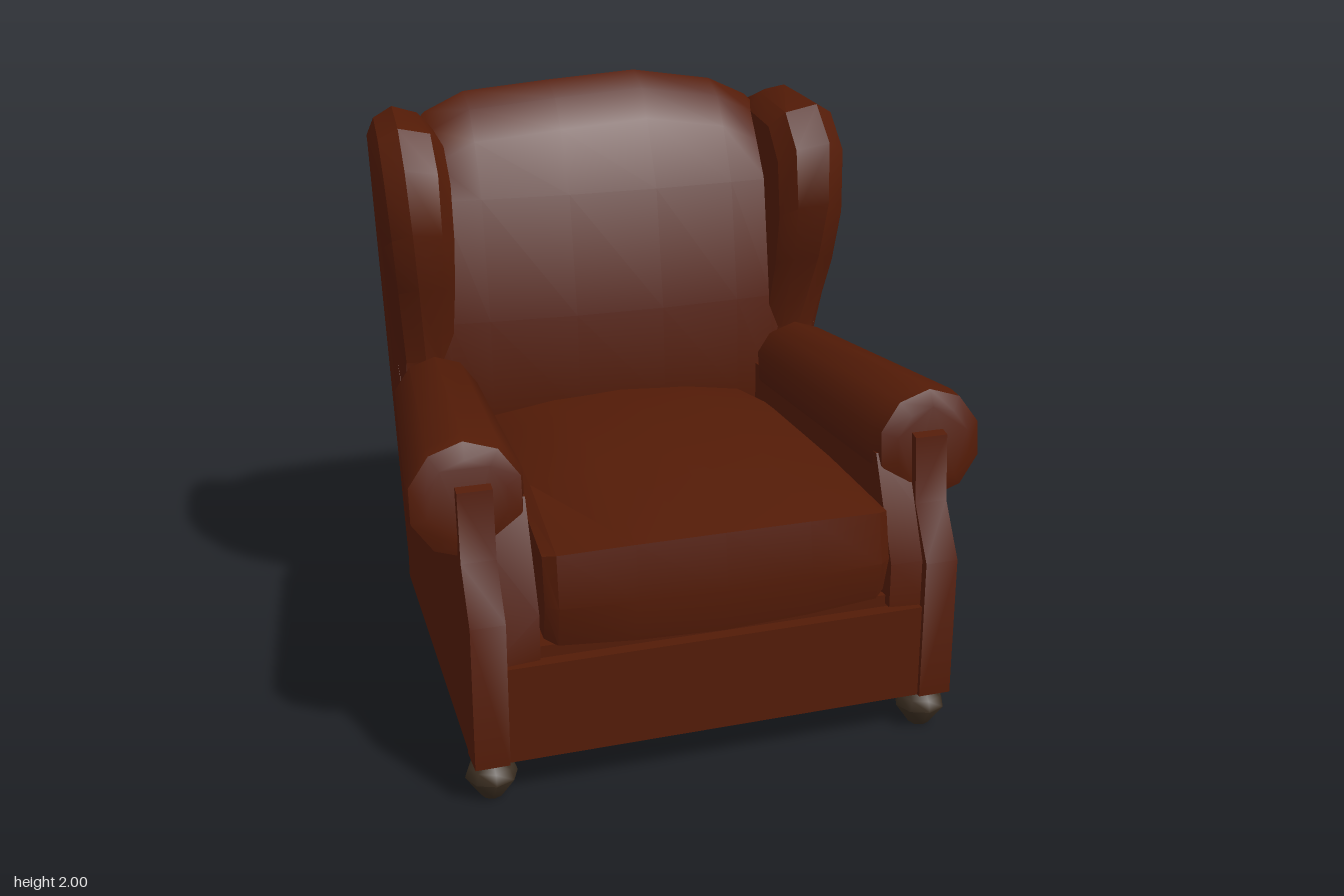
import * as THREE from 'three';
import { toCreasedNormals } from 'three/addons/utils/BufferGeometryUtils.js';

// Closed solid through equal-length rings of [x, y, z]; u and v pick the axes that span the end caps.
function loft(rings, u, v, crease = 0.6) {
  const n = rings[0].length, pts = rings.flat(), idx = [];
  for (let i = 0; i < rings.length - 1; i++) {
    for (let j = 0; j < n; j++) {
      const a = i * n + j, b = i * n + (j + 1) % n;
      idx.push(a, b, b + n, a, b + n, a + n);
    }
  }
  const cap = (ring, base, reverse) => {
    const flat = ring.map(p => new THREE.Vector2(p[u], p[v]));
    const sign = Math.sign(THREE.ShapeUtils.area(flat));
    for (const [a, b, c] of THREE.ShapeUtils.triangulateShape(flat, [])) {
      const same = Math.sign(THREE.ShapeUtils.area([flat[a], flat[b], flat[c]])) === sign;
      if (same !== reverse) idx.push(base + a, base + b, base + c);
      else idx.push(base + a, base + c, base + b);
    }
  };
  cap(rings[0], 0, true);
  cap(rings[rings.length - 1], (rings.length - 1) * n, false);
  // Turn the faces outward, so mirrored parts need no special care
  let volume = 0;
  const P = i => new THREE.Vector3(...pts[i]);
  for (let i = 0; i < idx.length; i += 3) volume += P(idx[i]).dot(P(idx[i + 1]).cross(P(idx[i + 2])));
  if (volume < 0) idx.reverse();
  const geo = new THREE.BufferGeometry();
  geo.setAttribute('position', new THREE.Float32BufferAttribute(pts.flat(), 3));
  geo.setIndex(idx);
  return toCreasedNormals(geo, crease);
}

export function createModel() {
  const leather = new THREE.MeshStandardMaterial({ color: 0x531b07 });
  leather.name = 'brown leather';
  const wood = new THREE.MeshStandardMaterial({ color: 0x3a2d20 });
  wood.name = 'dark wood';

  const chair = new THREE.Group();
  chair.name = 'wingChair';
  const add = (name, geo, mat, x = 0, y = 0, z = 0) => {
    const mesh = new THREE.Mesh(geo, mat);
    mesh.name = name;
    mesh.position.set(x, y, z);
    chair.add(mesh);
    return mesh;
  };

  // Backrest: side profiles across the width, with an arched top, bowed rear and padded face
  const backStations = [[-0.65, 1.84, 0], [-0.6, 1.89, 0.01], [-0.46, 1.955, 0.022], [-0.15, 1.98, 0.04],
    [0.17, 2, 0.04], [0.46, 1.955, 0.022], [0.6, 1.89, 0.01], [0.65, 1.84, 0]];
  add('backrest', loft(backStations.map(([x, top, b]) => [
    [-0.66 - b, 0.15], [-0.67 - b, 0.6], [-0.73 - b, 1.2], [-0.79 - b, top - 0.13], [-0.78 - b, top - 0.06],
    [-0.7, top], [-0.6, top - 0.05], [-0.53, top - 0.15], [-0.46 + b, 1.62], [-0.385 + b * 1.1, 1.2],
    [-0.365 + b * 1.2, 0.85], [-0.42, 0.5], [-0.62, 0.48], [-0.62, 0.15],
  ].map(([z, y]) => [x, y, z])), 2, 1, 0.75), leather);

  // Seat cushion: crowned top, bulging front, wider at the front
  const cushionStations = [[-1, 0.08, 0.03], [-0.93, 0.05, 0], [-0.5, 0.015, -0.02], [0, 0, -0.03],
    [0.5, 0.015, -0.02], [0.93, 0.05, 0], [1, 0.08, 0.03]];
  add('seatCushion', loft(cushionStations.map(([t, drop, inset]) => [
    [-0.42, 0.52], [-0.42, 0.9 - drop], [-0.1, 0.94 - drop], [0.35, 0.92 - drop],
    [0.78 - inset, 0.83 - drop / 3], [0.81 - inset, 0.65], [0.78 - inset, 0.515 + inset / 2],
  ].map(([z, y]) => [t * (0.49 + 0.077 * (z + 0.4) / 1.2), y, z])), 2, 1), leather);

  // Front rail, platform under the cushion and the bare frame behind it
  add('frontRail', new THREE.BoxGeometry(1.42, 0.32, 0.06), leather, 0, 0.3, 0.755);
  add('seatDeck', new THREE.BoxGeometry(1.4, 0.04, 0.85), leather, 0, 0.48, 0.315);
  add('rearFrame', new THREE.BoxGeometry(1.38, 0.05, 0.53), wood, 0, 0.475, -0.375);

  const wingOutline = [[-0.66, 0.15], [-0.67, 0.6], [-0.75, 1.2], [-0.82, 1.82], [-0.77, 1.89], [-0.62, 1.93],
    [-0.36, 1.9], [-0.24, 1.78], [-0.205, 1.57], [-0.24, 1.37], [-0.345, 1.08], [-0.345, 0.9], [-0.6, 0.45],
    [-0.6, 0.15]];
  const footProfile = [[0, 0], [0.035, 0], [0.084, 0.07], [0.072, 0.105], [0.045, 0.125], [0.05, 0.15], [0, 0.15]]
    .map(p => new THREE.Vector2(...p));

  for (const s of [1, -1]) {
    const side = s > 0 ? 'left' : 'right';

    // Wing: padded panel reaching from the floor rail to the headrest, flaring outward and forward
    const wingRing = (inset, offset, inner) => wingOutline.map(([z, y]) => {
      const high = y > 1;
      const outer = 0.745 + 0.07 * Math.max(0, y - 0.95) + 0.1 * (z + 0.66);
      const x = inner ?? outer - (high ? offset : offset * 0.2);
      return [s * x, high ? 1 + (y - 1) * (1 - inset / 2) : y, high ? -0.66 + (z + 0.66) * (1 - inset) : z];
    });
    add(side + 'Wing', loft([wingRing(0.21, 0), wingRing(0.08, 0.025), wingRing(0, 0.09),
      wingRing(0.06, 0, 0.64), wingRing(0.18, 0, 0.59)], 2, 1), leather);

    // Arm wall: upholstered panel under the roll, its front leaning back above the rail
    const wallRing = (z, out, inn) => [[out, 0.14], [out, 0.62], [out, 0.95], [inn, 0.95], [inn, 0.62], [inn, 0.47],
      [out - 0.06, 0.46], [out - 0.06, 0.14]]
      .map(([x, y]) => [s * x, y, z - (z > 0 ? Math.max(0, y - 0.62) * 0.45 : 0)]);
    add(side + 'ArmWall', loft([wallRing(0.77, 0.8, 0.58), wallRing(-0.63, 0.75, 0.52)], 0, 1), leather);

    // Arm roll: tapering bolster that flares outward toward the front
    const rollRing = (z, x, y, r) => Array.from({ length: 10 }, (_, i) => {
      const a = (i + 0.5) / 10 * Math.PI * 2;
      return [s * (x + r * Math.cos(a)), y + r * Math.sin(a), z - 0.12 * r * Math.sin(a)];
    });
    add(side + 'ArmRoll', loft([rollRing(0.655, 0.765, 0.965, 0.13), rollRing(0.635, 0.763, 0.967, 0.18),
      rollRing(0.58, 0.755, 0.965, 0.19), rollRing(-0.3, 0.672, 0.955, 0.152),
      rollRing(-0.37, 0.665, 0.95, 0.12)], 0, 1, 0.75), leather);

    // Front post: narrow facing that rises from the floor rail into the roll
    const postProfile = [[0.8, 0.14], [0.8, 0.62], [0.7, 0.79], [0.68, 1.01], [0.56, 1.04], [0.56, 0.62],
      [0.69, 0.5], [0.69, 0.14]];
    add(side + 'FrontPost', loft([0.69, 0.8].map(x => postProfile.map(([z, y]) => [s * x, y, z])), 2, 1), leather);

    // Feet: turned balls in front, tapered square legs behind
    add(side + 'FrontFoot', toCreasedNormals(new THREE.LatheGeometry(footProfile, 8), 0.9), wood, s * 0.734, 0, 0.715);
    const leg = new THREE.CylinderGeometry(0.08, 0.045, 0.16, 4, 1).toNonIndexed();
    leg.rotateY(Math.PI / 4);
    leg.computeVertexNormals();
    add(side + 'RearLeg', leg, wood, s * 0.663, 0.08, -0.6);
  }

  // The chair stands turned slightly toward its left
  chair.rotation.y = 0.195;
  chair.position.set(-0.046, 0, 0.009);
  const model = new THREE.Group();
  model.name = 'armchair';
  model.add(chair);
  return model;
}
